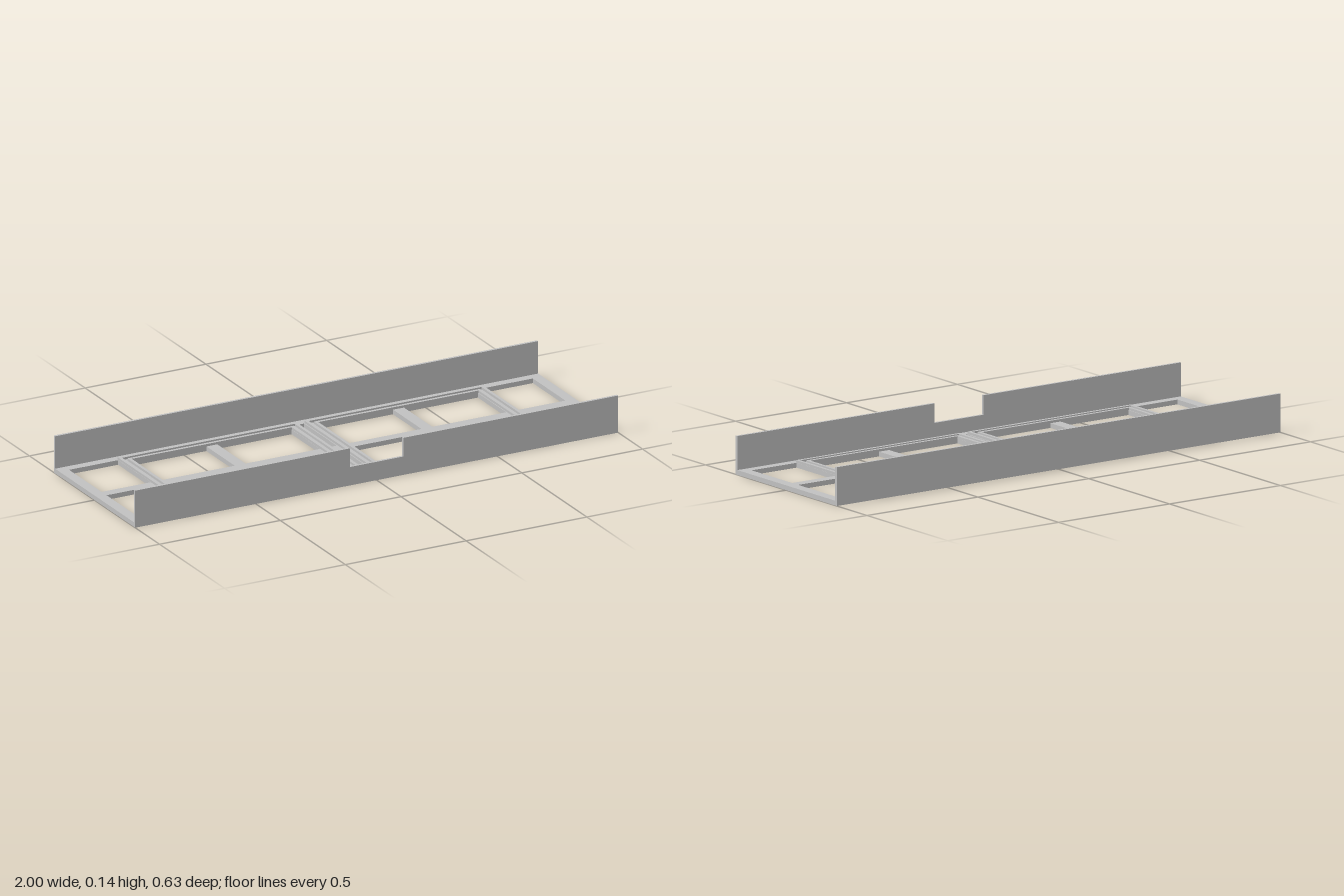
import * as THREE from 'three';

const HALF_X = 1, HALF_Z = 0.313, FLOOR = 0.018, RIDGE = 0.027, WALL = 0.145, WALL_T = 0.01;

function rect(Type, x0, x1, z0, z1) {
  const p = new Type();
  p.moveTo(x0, z0);
  p.lineTo(x1, z0);
  p.lineTo(x1, z1);
  p.lineTo(x0, z1);
  p.closePath();
  return p;
}

// Horizontal plate extruded upward from y0 to y1
function plate(shape, y0, y1, material, name) {
  const geo = new THREE.ExtrudeGeometry(shape, { depth: y1 - y0, bevelEnabled: false });
  geo.rotateX(-Math.PI / 2);
  geo.translate(0, y0, 0);
  const mesh = new THREE.Mesh(geo, material);
  mesh.name = name;
  return mesh;
}

export function createModel() {
  const group = new THREE.Group();
  group.name = 'openTray';
  const grey = new THREE.MeshStandardMaterial({ color: 0xc0c0c0 });
  grey.name = 'light grey';

  // Base lattice: end openings, four large openings and a centre slot per row
  const base = rect(THREE.Shape, -HALF_X, HALF_X, -HALF_Z, HALF_Z);
  const openings = [
    [0.757, 0.96, 0.269], [0.409, 0.715, 0.237], [0.056, 0.364, 0.237],
  ];
  for (const sz of [-1, 1]) {
    const hole = (x0, x1, z) =>
      base.holes.push(rect(THREE.Path, x0, x1, Math.min(sz * 0.019, sz * z), Math.max(sz * 0.019, sz * z)));
    for (const [x0, x1, z] of openings) {
      hole(x0, x1, z);
      hole(-x1, -x0, z);
    }
    hole(-0.013, 0.013, 0.269);
  }
  group.add(plate(base, 0, FLOOR, grey, 'baseLattice'));

  // Two raised frames, each a pair of concentric ridges with a groove between
  for (const side of [1, -1]) {
    const frame = new THREE.Group();
    frame.name = side > 0 ? 'leftFrame' : 'rightFrame';
    for (const [offset, name] of [[0, 'outerRidge'], [0.026, 'innerRidge']]) {
      const cx = side * 0.3865, hx = 0.3695 - offset, hz = 0.275 - offset, w = 0.012;
      const ring = rect(THREE.Shape, cx - hx, cx + hx, -hz, hz);
      ring.holes.push(rect(THREE.Path, cx - hx + w, cx + hx - w, -hz + w, hz - w));
      frame.add(plate(ring, FLOOR, RIDGE, grey, name));
    }
    group.add(frame);
  }

  // Full back wall
  const back = new THREE.Mesh(new THREE.BoxGeometry(2 * HALF_X, WALL, WALL_T), grey);
  back.position.set(0, WALL / 2, -HALF_Z + WALL_T / 2);
  back.name = 'backWall';
  group.add(back);

  // Front wall with a notch in its upper edge
  const s = new THREE.Shape();
  [[-HALF_X, 0], [HALF_X, 0], [HALF_X, WALL], [0.11, WALL], [0.11, 0.072],
    [-0.11, 0.072], [-0.11, WALL], [-HALF_X, WALL]]
    .forEach(([x, y], i) => (i ? s.lineTo(x, y) : s.moveTo(x, y)));
  s.closePath();
  const front = new THREE.Mesh(
    new THREE.ExtrudeGeometry(s, { depth: WALL_T, bevelEnabled: false }), grey);
  front.position.z = HALF_Z - WALL_T;
  front.name = 'frontWall';
  group.add(front);

  return group;
}
